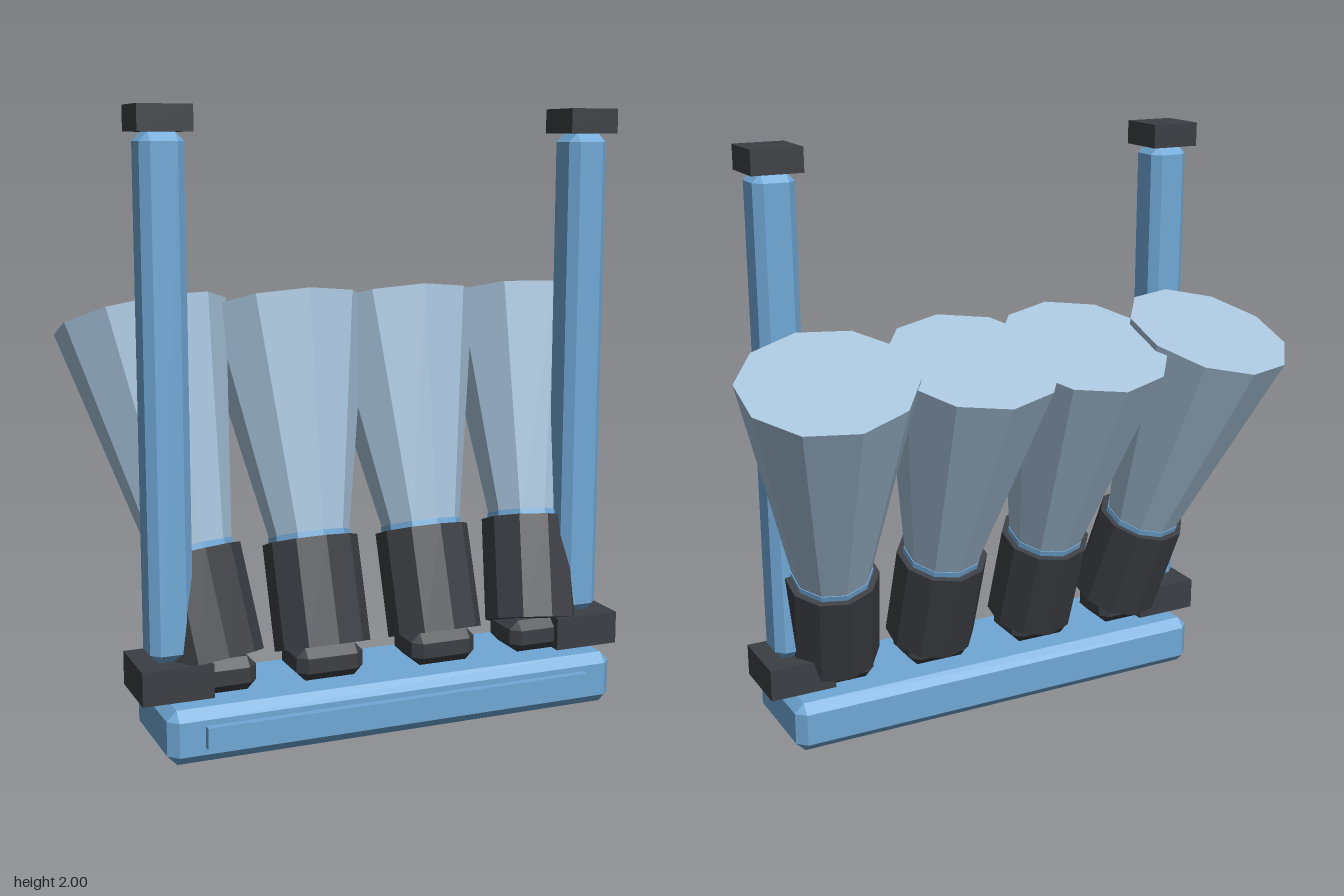
import * as THREE from 'three';
import { ConvexGeometry } from 'three/addons/geometries/ConvexGeometry.js';

const material = (name, color) => {
  const m = new THREE.MeshStandardMaterial({ color, flatShading: true });
  m.name = name;
  return m;
};

// Box with every edge cut at 45 degrees
function chamferBox(w, h, d, c) {
  const points = [];
  for (const x of [-1, 1]) for (const y of [-1, 1]) for (const z of [-1, 1]) {
    for (let axis = 0; axis < 3; axis++) {
      const inset = [c, c, c];
      inset[axis] = 0;
      points.push(new THREE.Vector3(
        x * (w / 2 - inset[0]), y * (h / 2 - inset[1]), z * (d / 2 - inset[2])));
    }
  }
  return new ConvexGeometry(points);
}

export function createModel() {
  const blue = material('blue', 0x70a8d6);
  const paleBlue = material('pale blue', 0xa8c4dc);
  const dark = material('charcoal', 0x3b3e43);
  const model = new THREE.Group();
  model.name = 'nozzleRack';

  const add = (parent, name, geometry, mat, x, y, z) => {
    const mesh = new THREE.Mesh(geometry, mat);
    mesh.name = name;
    mesh.position.set(x, y, z);
    parent.add(mesh);
    return mesh;
  };

  // Base with a raised front strip
  add(model, 'base', chamferBox(1.56, 0.175, 0.4, 0.032), blue, 0, 0.0875, 0.206);
  add(model, 'frontStrip', new THREE.BoxGeometry(1.33, 0.07, 0.04), blue, 0, 0.09, 0.412);

  // Two posts, each with a foot block and a cap
  for (const side of [-1, 1]) {
    const x = side * 0.725;
    add(model, 'postFoot', new THREE.BoxGeometry(0.23, 0.11, 0.235), dark, x, 0.235, 0.207);
    add(model, 'post', chamferBox(0.14, 1.63, 0.14, 0.028), blue, x, 1.105, 0.21);
    add(model, 'postCap', new THREE.BoxGeometry(0.172, 0.08, 0.172), dark, x, 1.96, 0.21);
  }

  // Four leaning nozzles: the outer pair also spreads sideways
  const barrelLength = 0.35, totalLength = 1.137, sides = 10;
  const coneLength = totalLength - barrelLength;
  for (const side of [-1, 1]) for (const outer of [false, true]) {
    const x = side * (outer ? 0.57 : 0.203);
    add(model, 'nozzleFoot', chamferBox(0.23, 0.11, 0.2, 0.03), dark, x, 0.23, 0.2);

    const nozzle = new THREE.Group();
    nozzle.name = 'nozzle';
    nozzle.position.set(x, 0.263, 0.207);
    nozzle.rotation.set(-0.33, 0, outer ? -side * 0.11 : 0);
    model.add(nozzle);

    add(nozzle, 'barrel', new THREE.CylinderGeometry(0.158, 0.158, barrelLength, sides),
      dark, 0, barrelLength / 2, 0);
    add(nozzle, 'collar', new THREE.CylinderGeometry(0.137, 0.137, 0.04, sides),
      blue, 0, barrelLength, 0);
    add(nozzle, 'cone', new THREE.CylinderGeometry(0.285, 0.13, coneLength, sides),
      paleBlue, 0, barrelLength + coneLength / 2, 0);
  }
  return model;
}
